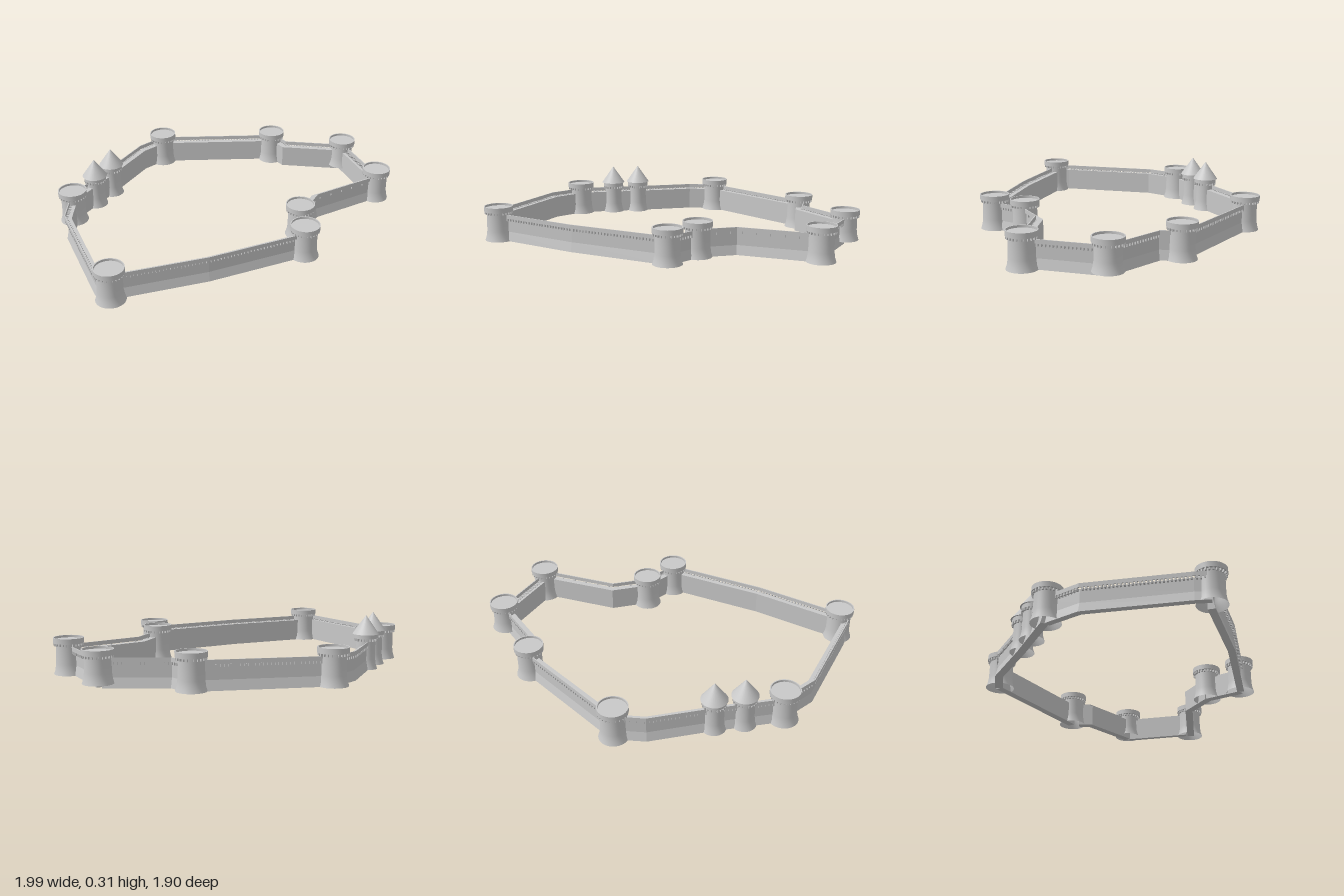
import * as THREE from 'three';
import { mergeGeometries, toCreasedNormals } from 'three/addons/utils/BufferGeometryUtils.js';

const stone = new THREE.MeshStandardMaterial({ color: 0xc8c8c8, side: THREE.DoubleSide });
stone.name = 'grey stone';

function part(geometry, name) {
  const mesh = new THREE.Mesh(geometry, stone);
  mesh.name = name;
  return mesh;
}

function lathe(points) {
  const g = new THREE.LatheGeometry(points.map(p => new THREE.Vector2(...p)), 32);
  return toCreasedNormals(g, 0.5);
}

// Round tower: flared open foot, shaft, corbels, and a rimmed cap or a cone roof
function tower({ name, x, z, base = 0, roof = false }) {
  const group = new THREE.Group();
  group.name = name;
  group.position.set(x, 0, z);
  const r = roof ? 0.055 : 0.07, cap = roof ? 0.066 : 0.085;
  group.add(part(lathe([[r + 0.014, base], [r + 0.006, base + 0.025], [r + 0.001, base + 0.06], [r, 0.175]]), 'shaft'));
  group.add(part(lathe([
    [r - 0.002, 0.175], [cap, 0.175], [cap, 0.205], [cap - 0.006, 0.205], [cap - 0.006, 0.192], [0, 0.192],
  ]), 'cap'));
  const corbels = [];
  const count = roof ? 20 : 24;
  for (let i = 0; i < count; i++) {
    corbels.push(new THREE.BoxGeometry(0.014, 0.015, 0.009)
      .translate(r + 0.005, 0.168, 0)
      .rotateY((i / count) * Math.PI * 2));
  }
  group.add(part(mergeGeometries(corbels), 'corbels'));
  if (roof) group.add(part(lathe([[cap - 0.004, 0.2], [0.075, 0.2], [0, 0.307]]), 'coneRoof'));
  return group;
}

// Sweep a closed profile of [outward offset, height] along a ground path with mitred bends
function sweep(path, profile) {
  const out = path.slice(1).map(([x, z], i) =>
    new THREE.Vector2(z - path[i][1], path[i][0] - x).normalize());
  const rings = path.map(([x, z], i) => {
    const a = out[Math.max(i - 1, 0)], b = out[Math.min(i, out.length - 1)];
    const m = a.clone().add(b);
    m.multiplyScalar(2 / m.lengthSq());
    return profile.map(([d, y]) => [x + m.x * d, y, z + m.y * d]);
  });
  const n = profile.length, pos = [], index = [];
  rings.forEach(ring => ring.forEach(p => pos.push(...p)));
  for (let i = 0; i < rings.length - 1; i++) {
    for (let j = 0; j < n; j++) {
      const a = i * n + j, b = i * n + (j + 1) % n;
      index.push(a, b, a + n, b, b + n, a + n);
    }
  }
  // end faces
  const last = (rings.length - 1) * n;
  for (let j = 1; j < n - 1; j++) {
    index.push(0, j + 1, j, last, last + j, last + j + 1);
  }
  const g = new THREE.BufferGeometry();
  g.setAttribute('position', new THREE.Float32BufferAttribute(pos, 3));
  g.setIndex(index);
  const flat = g.toNonIndexed();
  flat.computeVertexNormals();
  return flat;
}

// Wall with battered foot, walkway, and an outer parapet carried on corbels
function wall({ name, path, thick = 0.034, gap = 0.003, step = 0.02 }) {
  const group = new THREE.Group();
  group.name = name;
  const inner = -0.017, outer = inner + thick;
  const p0 = outer + gap, p1 = p0 + 0.006;
  group.add(part(sweep(path, [
    [inner, 0], [inner, 0.135], [outer, 0.135], [outer, 0.055], [outer + 0.012, 0],
  ]), 'wallBody'));
  group.add(part(sweep(path, [[p0, 0.137], [p0, 0.16], [p1, 0.16], [p1, 0.137]]), 'parapet'));
  const corbels = [];
  for (let i = 0; i < path.length - 1; i++) {
    const [x0, z0] = path[i], [x1, z1] = path[i + 1];
    const dx = x1 - x0, dz = z1 - z0, len = Math.hypot(dx, dz);
    const depth = p1 - outer + 0.004, mid = p1 - depth / 2;
    for (let s = step / 2; s < len; s += step) {
      corbels.push(new THREE.BoxGeometry(0.009, 0.017, depth)
        .translate(s, 0.13, -mid)
        .rotateY(-Math.atan2(dz, dx))
        .translate(x0, 0, z0));
    }
  }
  group.add(part(mergeGeometries(corbels), 'corbels'));
  return group;
}

export function createModel() {
  const model = new THREE.Group();
  model.name = 'castleWalls';

  // Towers, clockwise seen from above
  const A = [-0.52, -0.74], B = [0.21, -0.87], C = [0.69, -0.805], D = [0.91, -0.42], E = [0.46, 0.085];
  const F = [0.5, 0.31], G = [-0.495, 0.865], H = [-0.91, 0.1], I = [-0.825, -0.105], J = [-0.76, -0.26];
  [
    ['backRightTower', A], ['backTower', B], ['backLeftTower', C, { base: 0.025 }], ['leftTower', D],
    ['innerTower', E], ['frontLeftTower', F], ['frontTower', G], ['rightTower', H],
    ['gateTowerFront', I, { roof: true }], ['gateTowerBack', J, { roof: true }],
  ].forEach(([name, [x, z], extra]) => model.add(tower({ name, x, z, ...extra })));

  // Curtain walls between the towers
  [
    { name: 'backWall', path: [A, B] },
    { name: 'backLeftWall', path: [[0.25, -0.845], [0.305, -0.785], [0.67, -0.785]] },
    { name: 'leftWall', path: [[0.69, -0.79], [0.882, -0.43]], thick: 0.018, gap: 0.018 },
    { name: 'innerLeftWall', path: [D, [0.535, -0.13], E], step: 0.08 },
    { name: 'shortLeftWall', path: [E, F] },
    { name: 'frontLeftWall', path: [[0.49, 0.315], [-0.01, 0.618], [-0.47, 0.835]], thick: 0.03, gap: 0.008 },
    { name: 'frontRightWall', path: [[-0.53, 0.89], [-0.58, 0.82], [-0.875, 0.315], [-0.9, 0.1]], thick: 0.024, gap: 0.011 },
    { name: 'shortRightWall', path: [H, I] },
    { name: 'gateWall', path: [I, J] },
    { name: 'backRightWall', path: [J, [-0.63, -0.605], A] },
  ].forEach(w => model.add(wall(w)));

  return model;
}
